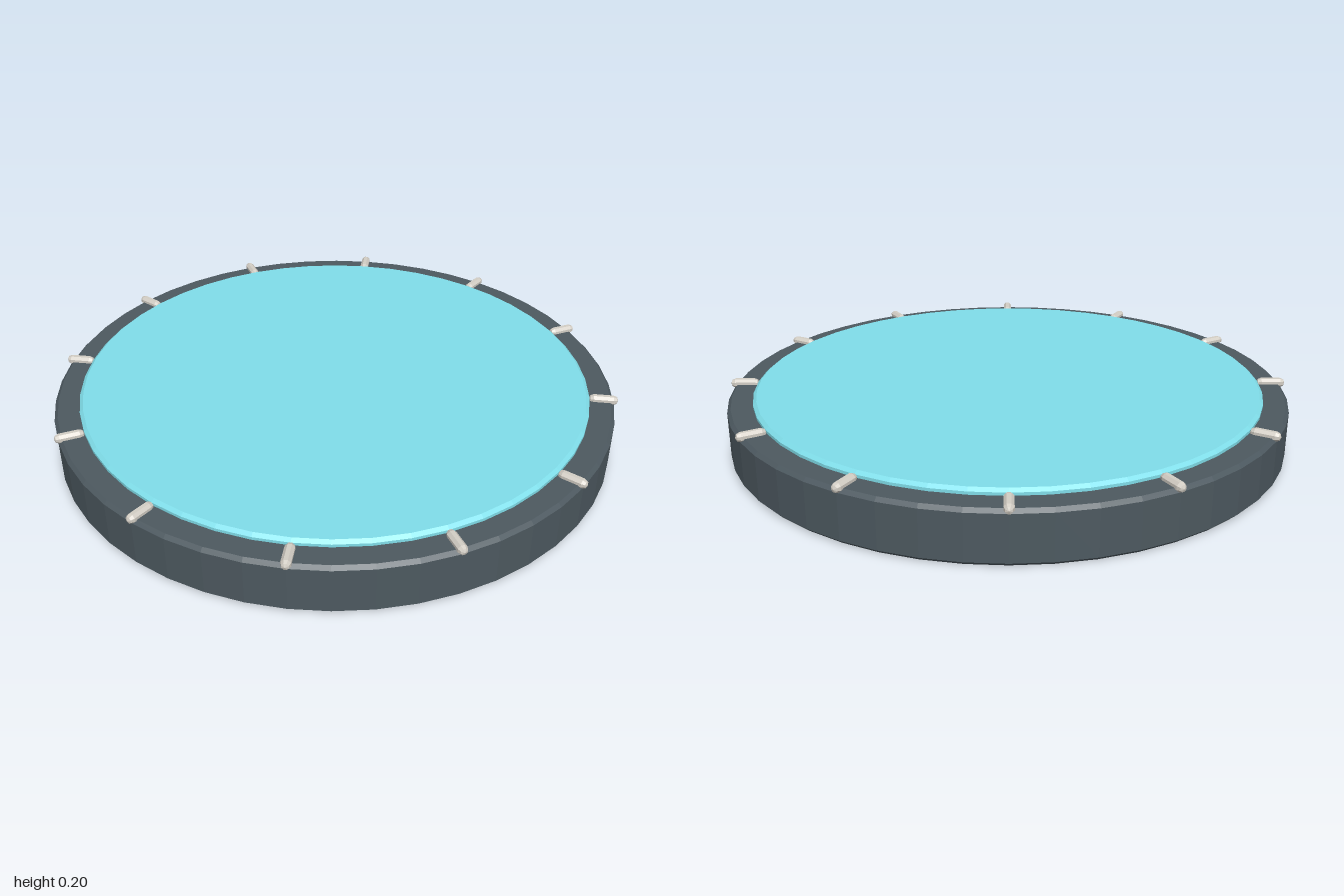
import * as THREE from 'three';

const SEGMENTS = 48;
const CLIPS = 12;

const flat = (color) => new THREE.MeshStandardMaterial({ color, flatShading: true });

// Solid of revolution from [radius, height] pairs, listed bottom to top
function turned(name, profile, material) {
  const points = profile.map(([r, y]) => new THREE.Vector2(r, y));
  const mesh = new THREE.Mesh(new THREE.LatheGeometry(points, SEGMENTS), material);
  mesh.name = name;
  return mesh;
}

export function createModel() {
  const model = new THREE.Group();
  model.name = 'roundPanel';

  // Dark drum with small bevels at both rims
  model.add(turned('base', [
    [0, 0], [0.975, 0], [0.987, 0.012], [0.987, 0.168], [0.975, 0.18], [0, 0.18],
  ], flat(0x4d5960)));

  // Raised coloured disc on top
  model.add(turned('disc', [
    [0.9, 0.175], [0.9, 0.19], [0.888, 0.2], [0, 0.2],
  ], flat(0x80deea)));

  // Radial clips around the rim
  const clipGeometry = new THREE.CapsuleGeometry(0.017, 0.068, 2, 8);
  clipGeometry.rotateY(Math.PI / 8).rotateZ(Math.PI / 2).translate(0.949, 0.183, 0);
  const clipMaterial = flat(0xd3cec5);
  const clips = new THREE.Group();
  clips.name = 'clips';
  for (let i = 0; i < CLIPS; i++) {
    const clip = new THREE.Mesh(clipGeometry, clipMaterial);
    clip.name = 'clip';
    clip.rotation.y = (i / CLIPS) * Math.PI * 2;
    clips.add(clip);
  }
  model.add(clips);

  return model;
}
